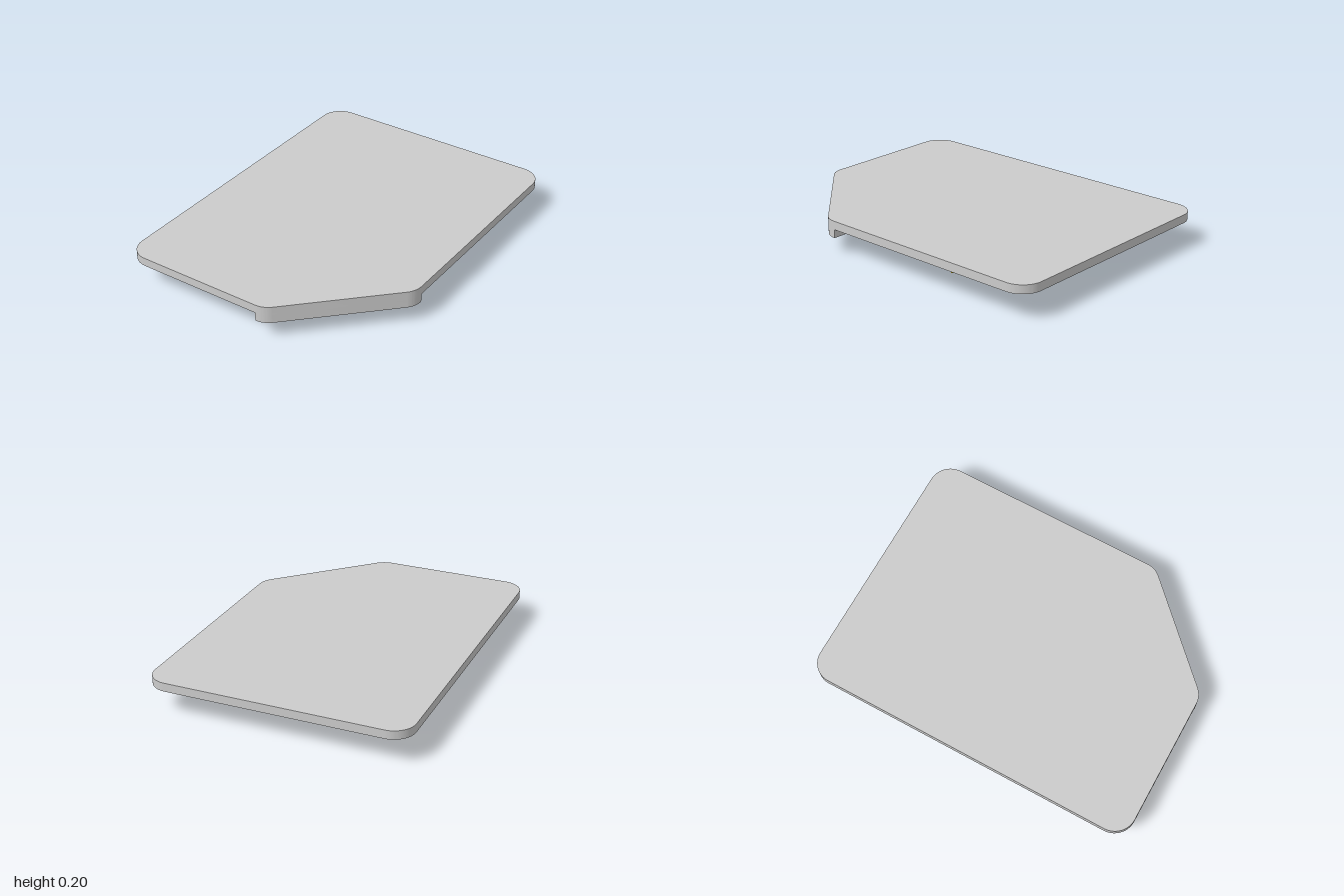
import * as THREE from 'three';
import { toCreasedNormals } from 'three/addons/utils/BufferGeometryUtils.js';

const R = 0.125; // corner radius
const HALF_W = 0.75;
const FOLD = R * Math.tan(Math.PI / 8); // tangent length of the bevel fillets
const CUT_X = R + FOLD; // where the bevel line meets the front edge
const CUT_Z = 0.375 + FOLD; // where the bevel line meets the side edge

const grey = new THREE.MeshStandardMaterial({ color: 0xcccccc });
const yellow = new THREE.MeshStandardMaterial({ color: 0xffdc14 });

// Horizontal slab from an outline drawn in (x, -z), standing on height y
function slab(name, shape, y, height, material) {
  let geometry = new THREE.ExtrudeGeometry(shape, { depth: height, bevelEnabled: false, curveSegments: 12 });
  geometry.rotateX(-Math.PI / 2);
  geometry = toCreasedNormals(geometry, 0.6);
  const mesh = new THREE.Mesh(geometry, material);
  mesh.name = name;
  mesh.position.y = y;
  return mesh;
}

// Straight-sided outline from [x, z] points
function polygon(points) {
  return new THREE.Shape(points.map(([x, z]) => new THREE.Vector2(x, -z)));
}

// Bevelled corner edge, from the front edge round to the right-hand edge
function addBevel(shape) {
  shape.absarc(R, -1 + R, R, -Math.PI / 2, -Math.PI / 4, false);
  shape.absarc(HALF_W - R, -0.375, R, -Math.PI / 4, 0, false);
}

function pageShape() {
  const s = new THREE.Shape();
  s.moveTo(-HALF_W + R, -1);
  s.lineTo(R, -1);
  addBevel(s);
  s.absarc(HALF_W - R, 1 - R, R, 0, Math.PI / 2, false);
  s.absarc(-HALF_W + R, 1 - R, R, Math.PI / 2, Math.PI, false);
  s.absarc(-HALF_W + R, -1 + R, R, Math.PI, Math.PI * 1.5, false);
  return s;
}

function foldShape() {
  const s = new THREE.Shape();
  s.moveTo(R, -1);
  addBevel(s);
  s.lineTo(R + R, -0.375);
  s.absarc(R + R, -0.375 - R, R, Math.PI / 2, Math.PI, false);
  s.lineTo(R, -1);
  return s;
}

export function createModel() {
  const group = new THREE.Group();
  group.name = 'codeDocument';

  // Sheet with one bevelled corner and the flap folded beneath it
  group.add(slab('page', pageShape(), 0.15, 0.05, grey));
  group.add(slab('foldedCorner', foldShape(), 0.1, 0.05, grey));

  // Code symbol floating under the sheet: two chevrons and a slash
  const centreX = -0.03;
  for (const [name, side] of [['leftChevron', 1], ['rightChevron', -1]]) {
    const points = [[0.22, -0.11], [0.38, -0.11], [0.535, -0.275], [0.38, -0.44], [0.22, -0.44], [0.375, -0.275]];
    const shape = polygon(points.map(([x, z]) => [centreX + side * x, z]));
    group.add(slab(name, shape, 0, 0.05, yellow));
  }
  const slash = polygon([[0.01, 0.18], [0.135, 0.18], [-0.065, -0.68], [-0.19, -0.68]]);
  group.add(slab('slash', slash, 0, 0.05, yellow));

  return group;
}
